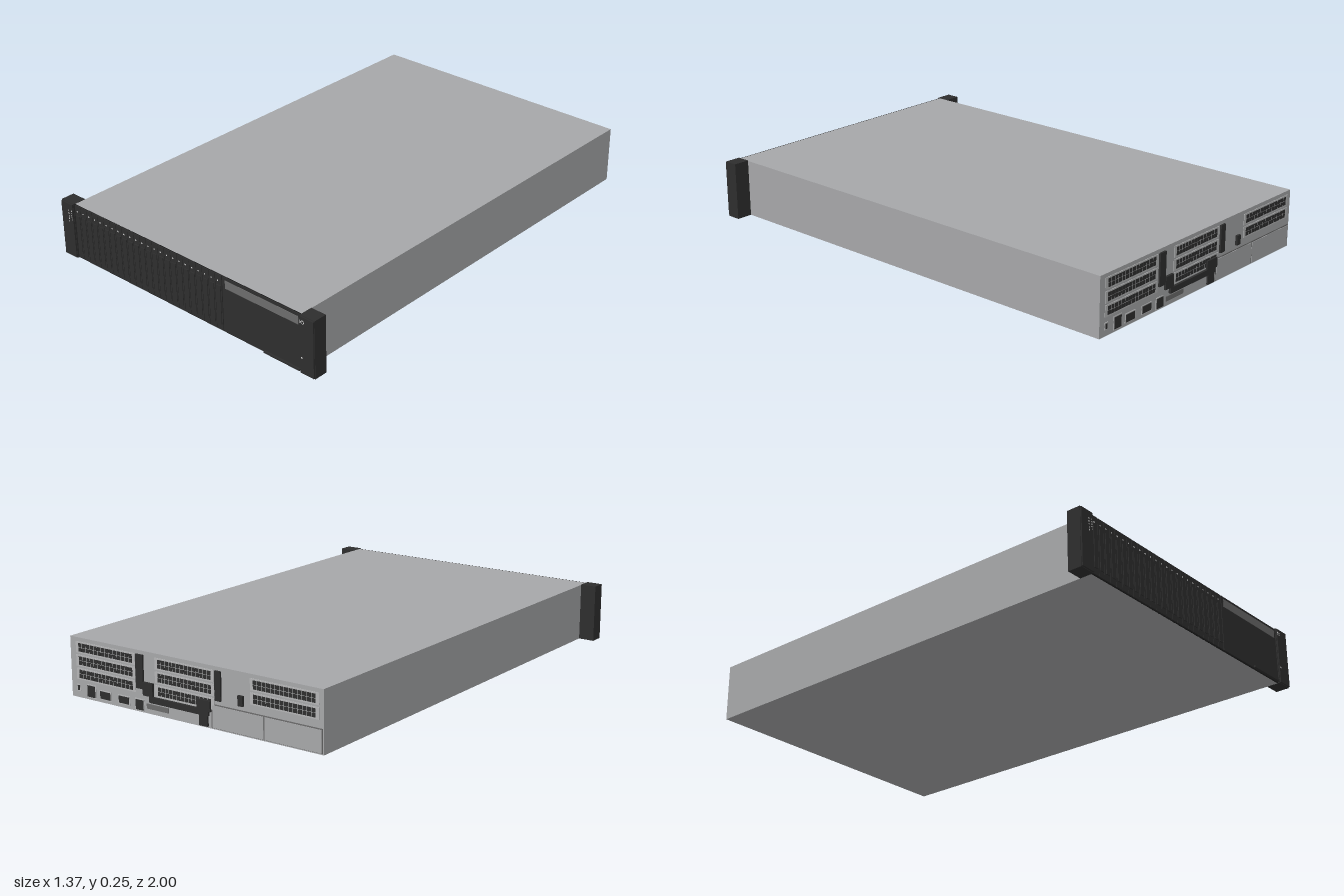
import * as THREE from 'three';

const flat = (name, color) => {
  const m = new THREE.MeshStandardMaterial({ color });
  m.name = name;
  return m;
};

export function createModel() {
  const steel = flat('steel', 0xa6a7a9);
  const black = flat('black', 0x2e2e2e);
  const dark = flat('darkGap', 0x1c1c1c);
  const grey = flat('midGrey', 0x6c6c6c);
  const pale = flat('paleMark', 0xd0d0d0);
  const bracket = flat('bracket', 0xb4b5b6);

  const model = new THREE.Group();
  model.name = 'rackServer';

  // Box given by its limits on each axis
  function box(name, mat, x0, x1, y0, y1, z0, z1, parent = model) {
    const mesh = new THREE.Mesh(new THREE.BoxGeometry(x1 - x0, y1 - y0, z1 - z0), mat);
    mesh.position.set((x0 + x1) / 2, (y0 + y1) / 2, (z0 + z1) / 2);
    mesh.name = name;
    parent.add(mesh);
    return mesh;
  }
  const BACK = -0.99;
  const rear = (name, mat, x0, x1, y0, y1, depth, parent) =>
    box(name, mat, x0, x1, y0, y1, BACK - depth, BACK + 0.002, parent);

  // Chassis and rack ears
  box('chassis', steel, -0.615, 0.615, 0, 0.245, BACK, 0.985);
  for (const s of [-1, 1]) {
    const ear = box('rackEar', black, -0.035, 0.035, 0, 0.247, 0.935, 0.994);
    ear.position.x = s * 0.65;
    const face = box('earFace', black, -0.033, 0.033, 0.003, 0.244, 0.99, 1.0);
    face.position.x = s * 0.65;
  }

  // Front backing panel
  box('frontPanel', dark, -0.615, 0.615, 0, 0.245, 0.984, 0.987);

  // Row of narrow drive carriers, each with a status light
  const drives = new THREE.Group();
  drives.name = 'drives';
  model.add(drives);
  const pitch = 0.0345, first = -0.612;
  for (let i = 0; i < 24; i++) {
    const x = first + i * pitch;
    box('driveCarrier', black, x + 0.001, x + pitch - 0.001, 0.004, 0.244, 0.986, 0.991, drives);
    box('driveLatch', black, x + 0.008, x + pitch - 0.006, 0.03, 0.2, 0.99, 0.994, drives);
    box('driveLight', pale, x + 0.011, x + 0.017, 0.216, 0.221, 0.99, 0.9918, drives);
  }

  // Blank bay with its vent strip and pull-out tag
  box('blankBay', black, 0.219, 0.613, 0.004, 0.244, 0.986, 0.991);
  box('ventStrip', grey, 0.235, 0.603, 0.199, 0.233, 0.99, 0.993);
  box('pullTag', black, 0.43, 0.61, 0.004, 0.012, 0.985, 0.998);

  // Control marks on the ears
  for (let i = 0; i < 5; i++) {
    box('statusMark', pale, -0.642, -0.638, 0.162 + i * 0.012, 0.168 + i * 0.012, 0.999, 1.001);
    box('statusMark', pale, -0.625, -0.622, 0.172 + i * 0.01, 0.177 + i * 0.01, 0.999, 1.001);
  }
  const ring = new THREE.Mesh(new THREE.RingGeometry(0.005, 0.008, 20), pale);
  ring.name = 'powerButton';
  ring.position.set(0.631, 0.223, 1.0008);
  model.add(ring);
  box('powerMark', pale, 0.618, 0.621, 0.216, 0.231, 0.999, 1.001);
  box('lowerLight', pale, 0.623, 0.629, 0.067, 0.073, 0.999, 1.001);

  // Expansion slots: pale bracket with two rows of vent holes
  function slotGroup(x0, x1, count) {
    const group = new THREE.Group();
    group.name = 'expansionSlots';
    model.add(group);
    for (let k = 0; k < count; k++) {
      const top = 0.229 - k * 0.054;
      rear('slotBracket', bracket, x0, x1, top - 0.046, top, 0.002, group);
      const n = 14, w = (x1 - x0 - 0.026) / n;
      for (let i = 0; i < n; i++) for (let j = 0; j < 2; j++) {
        const x = x0 + 0.013 + i * w, y = top - 0.022 - j * 0.018;
        rear('slotVent', black, x + 0.0015, x + w - 0.0015, y, y + 0.016, 0.003, group);
      }
    }
  }
  slotGroup(0.275, 0.585, 3);
  slotGroup(-0.115, 0.175, 3);
  slotGroup(-0.595, -0.285, 2);

  // Riser latches and carrying handle
  rear('riserLatch', black, 0.232, 0.268, 0.095, 0.23, 0.008);
  rear('riserLatch', black, -0.15, -0.122, 0.115, 0.23, 0.008);
  rear('latchFoot', black, 0.183, 0.232, 0.072, 0.125, 0.01);
  rear('handleBar', black, -0.09, 0.2, 0.048, 0.072, 0.01);
  rear('handleEnd', black, -0.1, -0.035, 0.066, 0.108, 0.01);
  rear('handleTab', black, -0.085, -0.045, 0.006, 0.048, 0.008);
  rear('smallPort', black, -0.255, -0.232, 0.115, 0.155, 0.01);

  // Network, display and USB ports along the bottom
  const ports = [[0.572, 0.582, 0.03, 0.05], [0.49, 0.53, 0.012, 0.058], [0.41, 0.462, 0.016, 0.046],
    [0.312, 0.364, 0.018, 0.046], [0.237, 0.276, 0.008, 0.048]];
  for (const [x0, x1, y0, y1] of ports) {
    rear('portShell', bracket, x0 - 0.004, x1 + 0.004, y0 - 0.004, y1 + 0.004, 0.002);
    rear('portOpening', black, x0, x1, y0, y1, 0.004);
  }
  rear('portShelf', grey, 0.11, 0.22, 0.02, 0.04, 0.003);

  // Power supply bays with dark seams
  rear('powerSeam', grey, -0.61, -0.1, 0.004, 0.098, 0.001);
  for (const [x0, x1] of [[-0.606, -0.351], [-0.345, -0.106]])
    rear('powerBay', steel, x0, x1, 0.006, 0.093, 0.003);

  return model;
}
